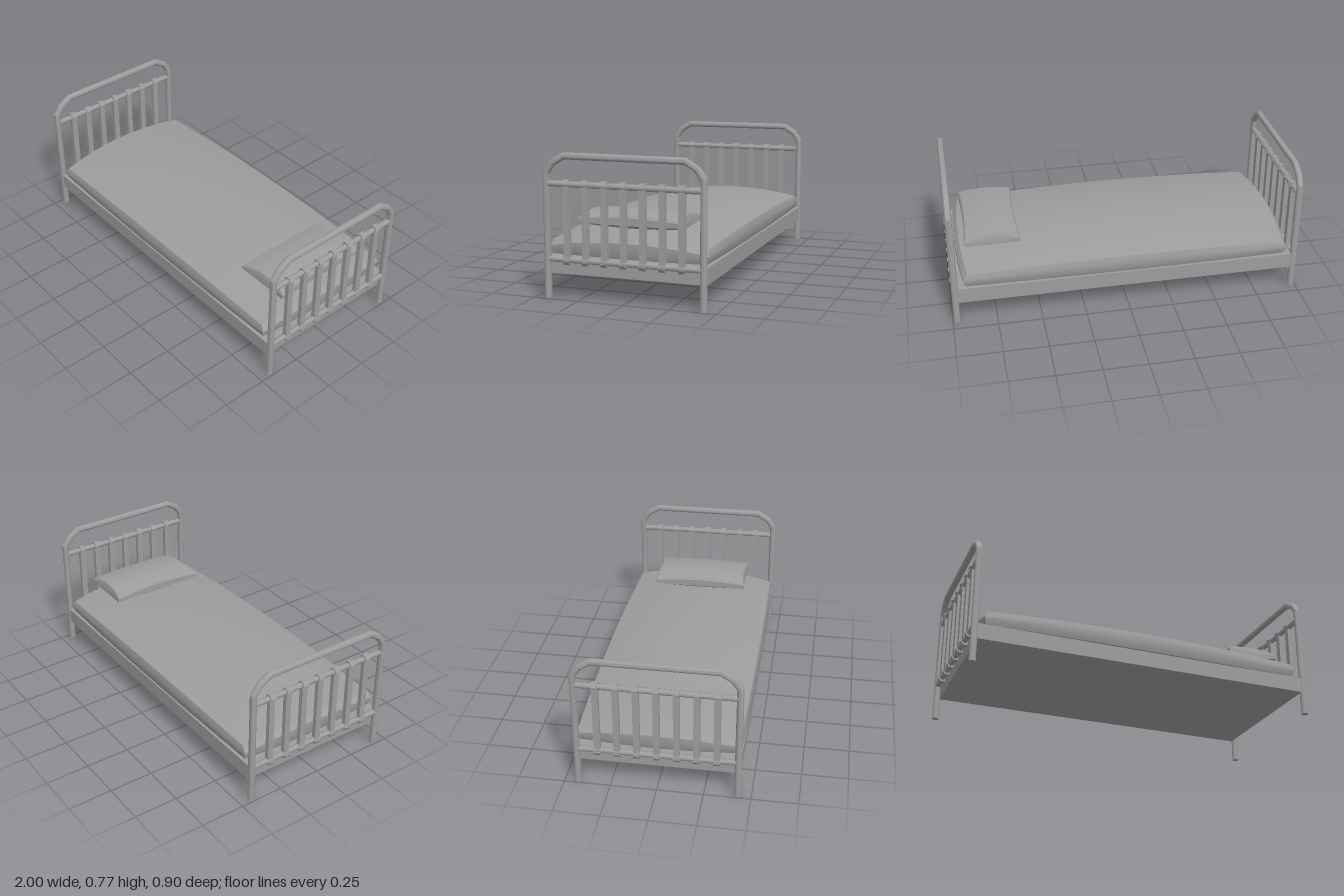
import * as THREE from 'three';
import { toCreasedNormals } from 'three/addons/utils/BufferGeometryUtils.js';

const grey = new THREE.MeshStandardMaterial({ color: 0x9d9d9d });

function add(parent, name, geometry, x = 0, y = 0, z = 0) {
  const mesh = new THREE.Mesh(geometry, grey);
  mesh.name = name;
  mesh.position.set(x, y, z);
  parent.add(mesh);
  return mesh;
}

// Straight-segment path with one tube ring exactly at each corner
class CornerPath extends THREE.Curve {
  constructor(points) {
    super();
    this.points = points;
  }
  getPoint(t, target = new THREE.Vector3()) {
    const s = t * (this.points.length - 1);
    const i = Math.min(Math.floor(s), this.points.length - 2);
    return target.lerpVectors(this.points[i], this.points[i + 1], s - i);
  }
  getPointAt(u, target) {
    return this.getPoint(u, target);
  }
  getTangentAt(u, target = new THREE.Vector3()) {
    const n = this.points.length - 1;
    const i = Math.round(u * n);
    const dir = (k) => this.points[k + 1].clone().sub(this.points[k]).normalize();
    return target.addVectors(dir(Math.max(i - 1, 0)), dir(Math.min(i, n - 1))).normalize();
  }
}

// Subdivided box whose vertices are moved by rule(u, t, v): u, v in -1..1, t in 0..1
function softBox(segX, segY, segZ, rule) {
  const geometry = new THREE.BoxGeometry(2, 1, 2, segX, segY, segZ);
  const p = geometry.attributes.position;
  for (let i = 0; i < p.count; i++) {
    p.setXYZ(i, ...rule(p.getX(i), p.getY(i) + 0.5, p.getZ(i)));
  }
  return toCreasedNormals(geometry, 0.48);
}

function mattressRule(u, t, v) {
  const level = Math.round(t * 3);
  const halfX = [0.938, 0.95, 0.95, 0.927][level] - 0.025 * v * v;
  const halfZ = [0.437, 0.449, 0.449, 0.44][level] - 0.012 * u * u;
  const a = 1 - u * u;
  const top = 0.3 + 0.025 * a + (0.04 + 0.015 * a) * (1 - v * v);
  const y = [0.225, 0.256, top - 0.03, top][level];
  return [u * halfX, y, v * halfZ];
}

// Pillow thins towards its corners and bulges in the middle
function pillowRule(u, t, v) {
  const level = Math.round(t * 3);
  const inset = [0.02, 0, 0, 0.008][level];
  const bu = 1 - u * u, bv = 1 - v * v;
  const y = [
    0.388 - 0.016 * bu - 0.012 * bv,
    0.397 - 0.012 * bu - 0.007 * bv,
    0.418 + 0.01 * bu + 0.012 * bv,
    0.428 + 0.02 * bu + 0.016 * bv,
  ][level];
  return [
    0.744 + u * (0.157 - inset - 0.01 * bv),
    y,
    v * (0.286 - inset - 0.01 * bu),
  ];
}

// Wedge-shaped clip that sits over a rail, pointing up
function clipGeometry() {
  const profile = new THREE.Shape([
    new THREE.Vector2(-0.024, 0),
    new THREE.Vector2(0.024, 0),
    new THREE.Vector2(0.022, 0.006),
    new THREE.Vector2(0.012, 0.021),
    new THREE.Vector2(-0.012, 0.021),
    new THREE.Vector2(-0.022, 0.006),
  ]);
  return new THREE.ExtrudeGeometry(profile, { depth: 0.035, bevelEnabled: false }).translate(0, 0, -0.0175);
}

// Bent tube frame with two rails and upright bars
function endFrame(name, x) {
  const frame = new THREE.Group();
  frame.name = name;
  frame.position.x = x;

  const half = [[0, 0.428], [0.662, 0.428], [0.713, 0.392], [0.75, 0.33]];
  const points = [
    ...half.map(([y, z]) => new THREE.Vector3(0, y, z)),
    ...half.map(([y, z]) => new THREE.Vector3(0, y, -z)).reverse(),
  ];
  const tube = new THREE.TubeGeometry(new CornerPath(points), points.length - 1, 0.019, 12, false);
  add(frame, 'bentTube', toCreasedNormals(tube, 0.55));

  for (const side of [-1, 1]) {
    add(frame, 'footCap', new THREE.CircleGeometry(0.019, 12).rotateX(Math.PI / 2), 0, 0, side * 0.428);
  }

  for (const y of [0.605, 0.21]) {
    add(frame, 'rail', new THREE.CylinderGeometry(0.016, 0.016, 0.84, 10).rotateX(Math.PI / 2), 0, y, 0);
  }

  for (let i = -3; i <= 3; i++) {
    const z = i * 0.105;
    add(frame, 'uprightBar', new THREE.BoxGeometry(0.024, 0.395, 0.034), 0, 0.4075, z);
    add(frame, 'upperClip', clipGeometry(), 0, 0.607, z);
    add(frame, 'lowerClip', clipGeometry().rotateZ(Math.PI), 0, 0.206, z);
  }
  return frame;
}

export function createModel() {
  const bed = new THREE.Group();
  bed.name = 'bed';

  bed.add(endFrame('headboard', 0.976), endFrame('footboard', -0.976));
  add(bed, 'base', new THREE.BoxGeometry(1.92, 0.088, 0.88), 0, 0.174, 0);
  add(bed, 'mattress', softBox(14, 3, 12, mattressRule));
  add(bed, 'pillow', softBox(10, 3, 12, pillowRule));

  return bed;
}
